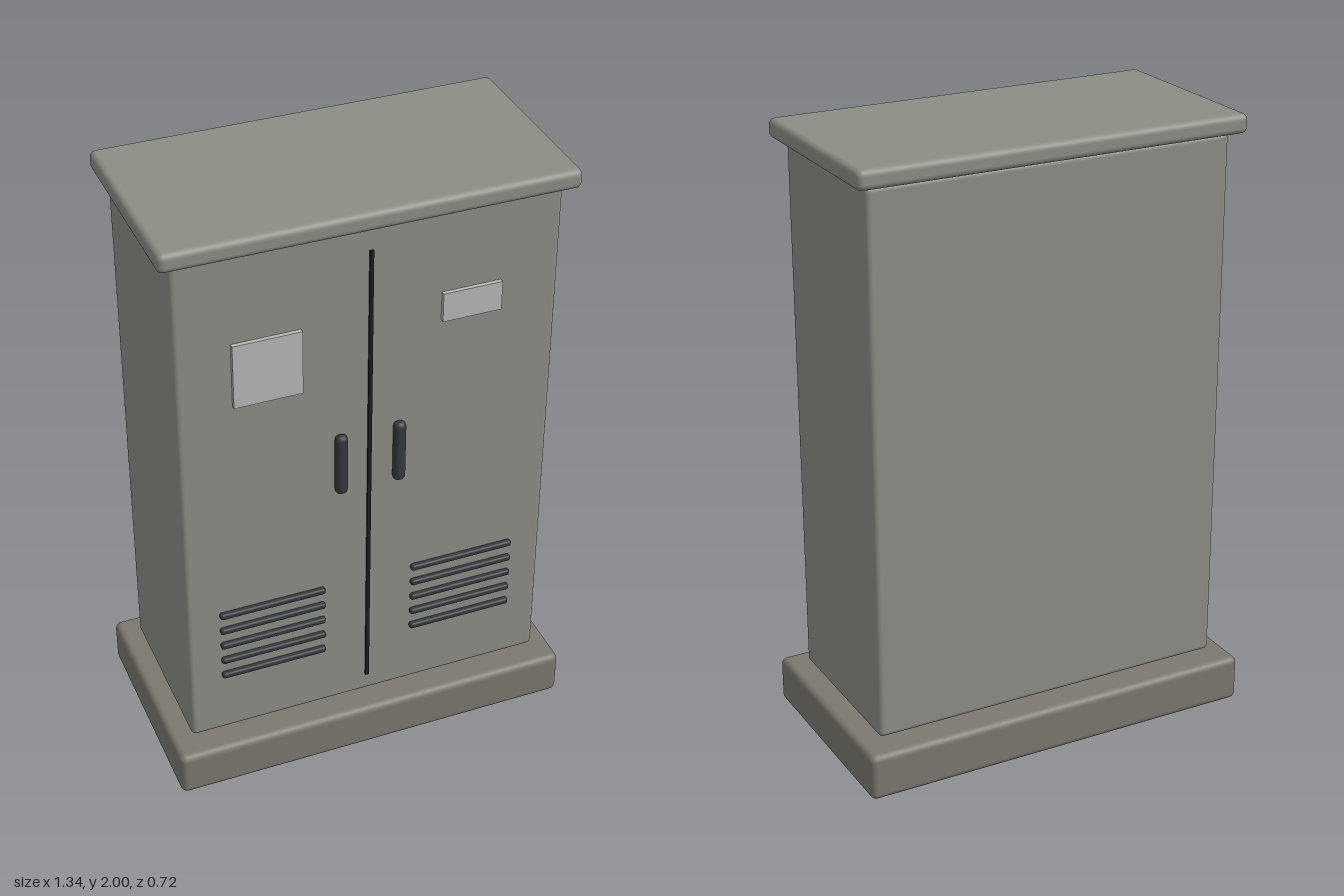
import * as THREE from 'three';
import { RoundedBoxGeometry } from 'three/addons/geometries/RoundedBoxGeometry.js';

const paint = (color, side = THREE.FrontSide) => new THREE.MeshStandardMaterial({ color, side });

// Drops the flat underside of a box, leaving an open shell
function openBottom(geometry) {
  const { position, normal, uv } = geometry.attributes;
  geometry.computeBoundingBox();
  const floor = geometry.boundingBox.min.y + 1e-4;
  const keep = [];
  for (let i = 0; i < position.count; i += 3) {
    const flat = [0, 1, 2].every((k) => position.getY(i + k) < floor);
    if (!flat) keep.push(i, i + 1, i + 2);
  }
  const shell = new THREE.BufferGeometry();
  shell.setAttribute('position', position);
  shell.setAttribute('normal', normal);
  shell.setAttribute('uv', uv);
  shell.setIndex(keep);
  return shell;
}

export function createModel() {
  const model = new THREE.Group();
  const bodyPaint = paint(0x8c8e85);
  const basePaint = paint(0x7c7870, THREE.DoubleSide);
  const darkPaint = paint(0x36383c);
  const seamPaint = paint(0x1c1d20);
  const platePaint = paint(0xb8b8b8);

  const add = (name, geometry, material, x, y, z) => {
    const mesh = new THREE.Mesh(geometry, material);
    mesh.name = name;
    mesh.position.set(x, y, z);
    model.add(mesh);
    return mesh;
  };
  const rounded = (w, h, d, r) => new RoundedBoxGeometry(w, h, d, 4, r);

  // Hollow plinth, cabinet body and overhanging roof
  add('plinth', openBottom(rounded(1.34, 0.155, 0.724, 0.022)), basePaint, 0, 0.0775, 0);
  add('cabinetBody', rounded(1.208, 1.77, 0.566, 0.017), bodyPaint, 0, 1.051, 0);
  add('roof', rounded(1.29, 0.062, 0.65, 0.02), bodyPaint, 0, 1.969, 0);

  // Seam between the two doors
  add('doorSeam', new THREE.BoxGeometry(0.012, 1.62, 0.016), seamPaint, 0, 1.045, 0.282);

  // Handles and ventilation slats, mirrored on the two doors
  const handle = rounded(0.04, 0.217, 0.036, 0.0175);
  const slat = rounded(0.35, 0.021, 0.024, 0.008);
  for (const side of [-1, 1]) {
    const door = side < 0 ? 'right' : 'left';
    add(door + 'Handle', handle, darkPaint, side * 0.095, 1.128, 0.294);
    for (let i = 0; i < 5; i++) {
      add(door + 'VentSlat', slat, darkPaint, side * 0.322, 0.4 + i * 0.061, 0.288);
    }
  }

  // Flat plates on the doors
  add('rightDoorPlate', new THREE.BoxGeometry(0.215, 0.215, 0.014), platePaint, -0.324, 1.532, 0.291);
  add('leftDoorPlate', new THREE.BoxGeometry(0.19, 0.097, 0.014), platePaint, 0.32, 1.613, 0.291);

  return model;
}
